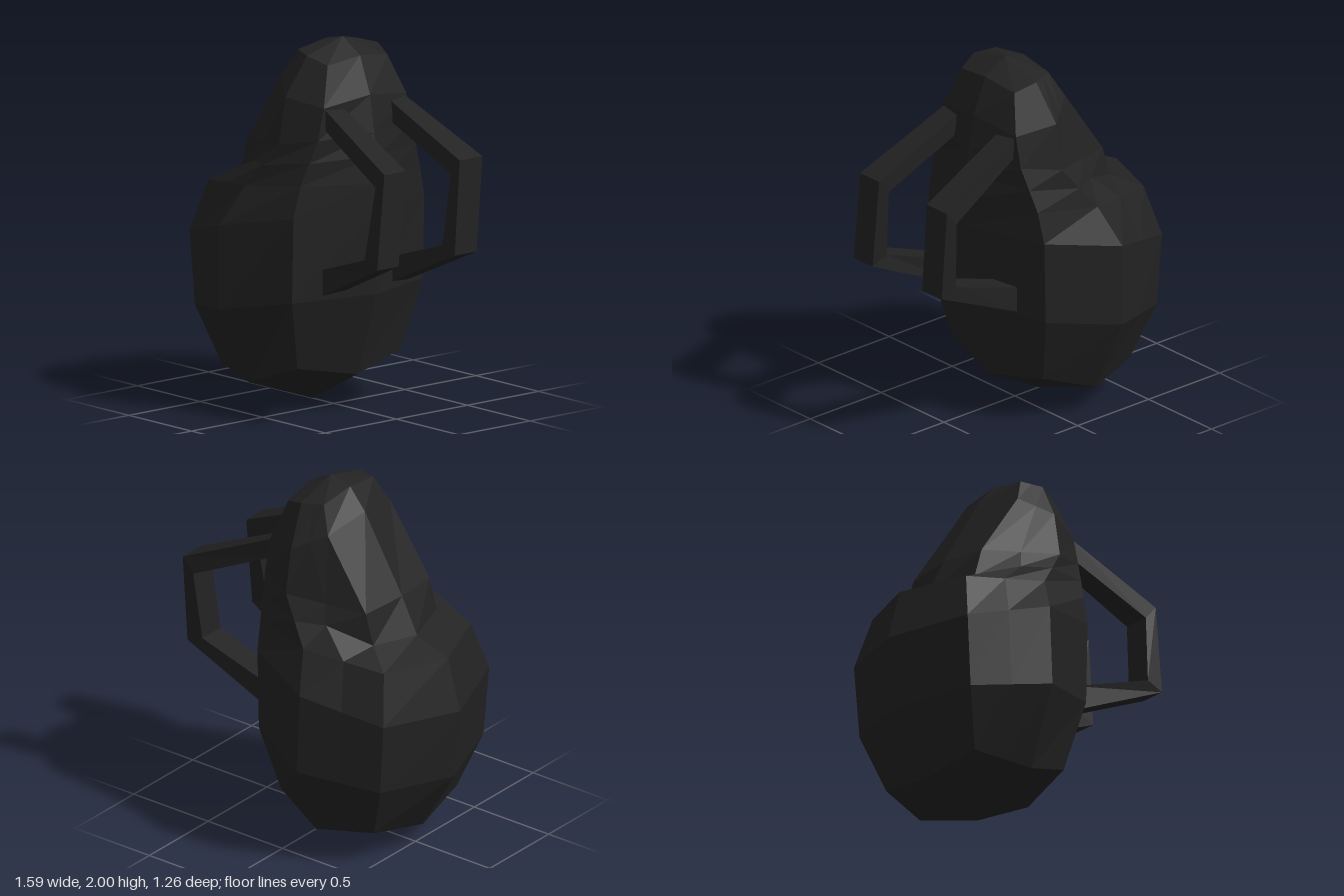
import * as THREE from 'three';

const material = new THREE.MeshStandardMaterial({ color: 0x222222, flatShading: true });

// Skin a stack of closed rings, with a fan to a point at each end.
function loft(name, rings, first, last) {
  const pos = [];
  const tri = (...points) => points.forEach((p) => pos.push(...p));
  const n = rings[0].length;
  for (let i = 0; i < n; i++) {
    const j = (i + 1) % n;
    tri(rings[0][j], rings[0][i], first);
    for (let r = 0; r < rings.length - 1; r++) {
      const a = rings[r], b = rings[r + 1];
      tri(a[i], a[j], b[j]);
      tri(a[i], b[j], b[i]);
    }
    const top = rings[rings.length - 1];
    tri(top[i], top[j], last);
  }
  const geometry = new THREE.BufferGeometry();
  geometry.setAttribute('position', new THREE.Float32BufferAttribute(pos, 3));
  geometry.computeVertexNormals();
  const mesh = new THREE.Mesh(geometry, material);
  mesh.name = name;
  return mesh;
}

const mid = (a, b) => a.map((v, i) => (v + b[i]) / 2);

// Half ring from the -x middle round to the +x middle, mirrored across z.
// The fold point lies between the corner and the side; by default halfway.
function bodyRing([a, b, c, d, e], fold = mid(b, c)) {
  const half = [b, fold, c, d];
  const mirrored = half.map(([x, y, z]) => [x, y, -z]).reverse();
  return [a, ...half, e, ...mirrored];
}

function createBody() {
  const rings = [
    bodyRing([[-0.55, 0.12, 0], [-0.5, 0.19, 0.35], [-0.18, 0.15, 0.44], [0.12, 0.26, 0.36], [0.19, 0.19, 0]]),
    bodyRing([[-0.76, 0.47, 0], [-0.61, 0.5, 0.44], [-0.2, 0.57, 0.63], [0.19, 0.64, 0.46], [0.34, 0.65, 0]]),
    bodyRing([[-0.8, 0.87, 0], [-0.64, 0.9, 0.45], [-0.21, 1.02, 0.62], [0.2, 1.1, 0.46], [0.355, 1.1, 0]]),
    bodyRing([[-0.72, 1.16, 0], [-0.58, 1.17, 0.37], [-0.14, 1.23, 0.5], [0.21, 1.27, 0.42], [0.357, 1.25, 0]]),
    // Ledge above the pouch
    bodyRing([[-0.51, 1.23, 0], [-0.43, 1.25, 0.27], [-0.05, 1.35, 0.46], [0.23, 1.39, 0.375], [0.345, 1.4, 0]],
      [-0.2, 1.34, 0.38]),
    bodyRing([[-0.41, 1.43, 0], [-0.38, 1.42, 0.27], [0.04, 1.47, 0.42], [0.25, 1.51, 0.33], [0.325, 1.52, 0]]),
    bodyRing([[-0.16, 1.85, 0], [-0.12, 1.8, 0.265], [0.04, 1.72, 0.375], [0.25, 1.68, 0.29], [0.29, 1.72, 0]]),
    bodyRing([[-0.06, 1.97, 0], [-0.05, 1.94, 0.21], [0.07, 1.93, 0.25], [0.19, 1.89, 0.21], [0.21, 1.92, 0]]),
  ];
  return loft('bagBody', rings, [-0.17, 0, 0], [0.07, 2, 0]);
}

// Angular strap: each station gives the outer and inner edge; zs its width.
function createStrap(name, zs) {
  const stations = [
    [0.25, 1.67, 0.25, 1.56],
    [0.79, 1.42, 0.72, 1.34],
    [0.79, 0.91, 0.69, 0.95],
    [0.25, 0.67, 0.25, 0.81],
  ];
  const rings = stations.map(([ox, oy, ix, iy], i) => {
    const [z0, z1] = zs[i];
    return [[ox, oy, z0], [ox, oy, z1], [ix, iy, z1], [ix, iy, z0]];
  });
  return loft(name, rings, mid(rings[0][0], rings[0][2]), mid(rings[3][0], rings[3][2]));
}

export function createModel() {
  const group = new THREE.Group();
  group.name = 'backpack';
  group.add(createBody());
  group.add(createStrap('frontStrap', [[0.16, 0.28], [0.19, 0.34], [0.24, 0.39], [0.16, 0.3]]));
  group.add(createStrap('rearStrap', [[-0.28, -0.16], [-0.35, -0.19], [-0.31, -0.155], [-0.3, -0.16]]));
  return group;
}
